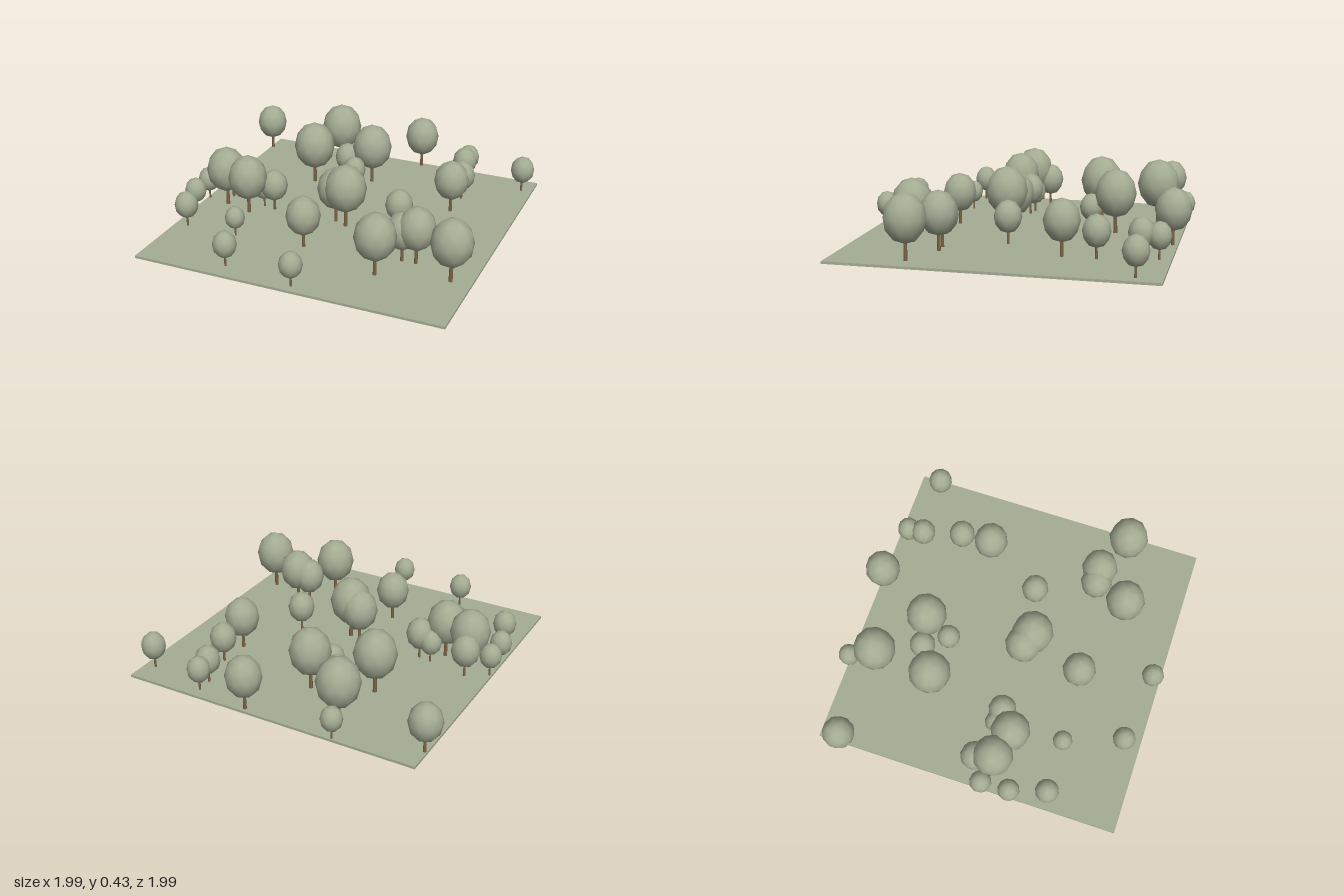
import * as THREE from 'three';

// Each tree: x, z, crown radius (height follows from the radius)
const TREES = [
  [-0.90, -0.77, 0.098], [-0.40, -0.905, 0.065], [-0.35, -0.74, 0.13], [0.18, -0.89, 0.109],
  [0.525, -0.85, 0.07], [0.53, -0.75, 0.077], [0.915, -0.77, 0.075], [0.59, -0.505, 0.082],
  [0.583, -0.305, 0.107], [-0.20, -0.49, 0.08], [-0.035, -0.515, 0.126], [-0.385, -0.37, 0.13],
  [-0.095, -0.355, 0.072], [-0.77, 0.05, 0.087], [-0.90, 0.13, 0.067], [-0.75, 0.16, 0.122],
  [-0.52, 0.10, 0.068], [-0.44, 0.115, 0.085], [-0.573, 0.21, 0.12], [-0.895, 0.305, 0.067],
  [-0.02, 0.11, 0.113], [0.06, 0.145, 0.128], [0.375, 0.06, 0.084], [-0.83, 0.525, 0.072],
  [-0.50, 0.52, 0.06], [-0.063, 0.485, 0.103], [0.53, 0.415, 0.098], [0.615, 0.41, 0.113],
  [0.447, 0.625, 0.122], [0.863, 0.525, 0.123], [-0.375, 0.87, 0.07], [0.068, 0.925, 0.068],
];
const GROUND_TOP = 0.015;

function material(name, color) {
  const m = new THREE.MeshStandardMaterial({ color });
  m.name = name;
  return m;
}

export function createModel() {
  const model = new THREE.Group();
  model.name = 'grove';
  const grass = material('pale grass green', 0xa5ad94);
  const leaf = material('sage leaf green', 0xa5ad94);
  const bark = material('brown bark', 0x7d6344);

  // Thin square ground slab
  const ground = new THREE.Mesh(new THREE.BoxGeometry(1.9, GROUND_TOP, 1.9), grass);
  ground.name = 'ground';
  ground.position.set(0.035, GROUND_TOP / 2, 0.03);
  model.add(ground);

  // Unit tree: smooth icosphere with a vertex at the top, stretched upward
  const crownGeo = new THREE.IcosahedronGeometry(1.01, 1);
  crownGeo.rotateZ(Math.atan(2 / (1 + Math.sqrt(5))));
  crownGeo.rotateY(0.12);
  crownGeo.scale(1, 1.19, 1);
  crownGeo.translate(0, 1.98, 0);

  // Slightly tapered trunk reaching into the crown
  const trunkGeo = new THREE.CylinderGeometry(0.075, 0.1, 1.4, 8);
  trunkGeo.translate(0, 0.7, 0);

  for (const [x, z, r] of TREES) {
    const tree = new THREE.Group();
    tree.name = 'tree';
    const crown = new THREE.Mesh(crownGeo, leaf);
    crown.name = 'crown';
    const trunk = new THREE.Mesh(trunkGeo, bark);
    trunk.name = 'trunk';
    tree.add(crown, trunk);
    tree.position.set(x, GROUND_TOP, z);
    tree.scale.setScalar(r);
    model.add(tree);
  }
  return model;
}
